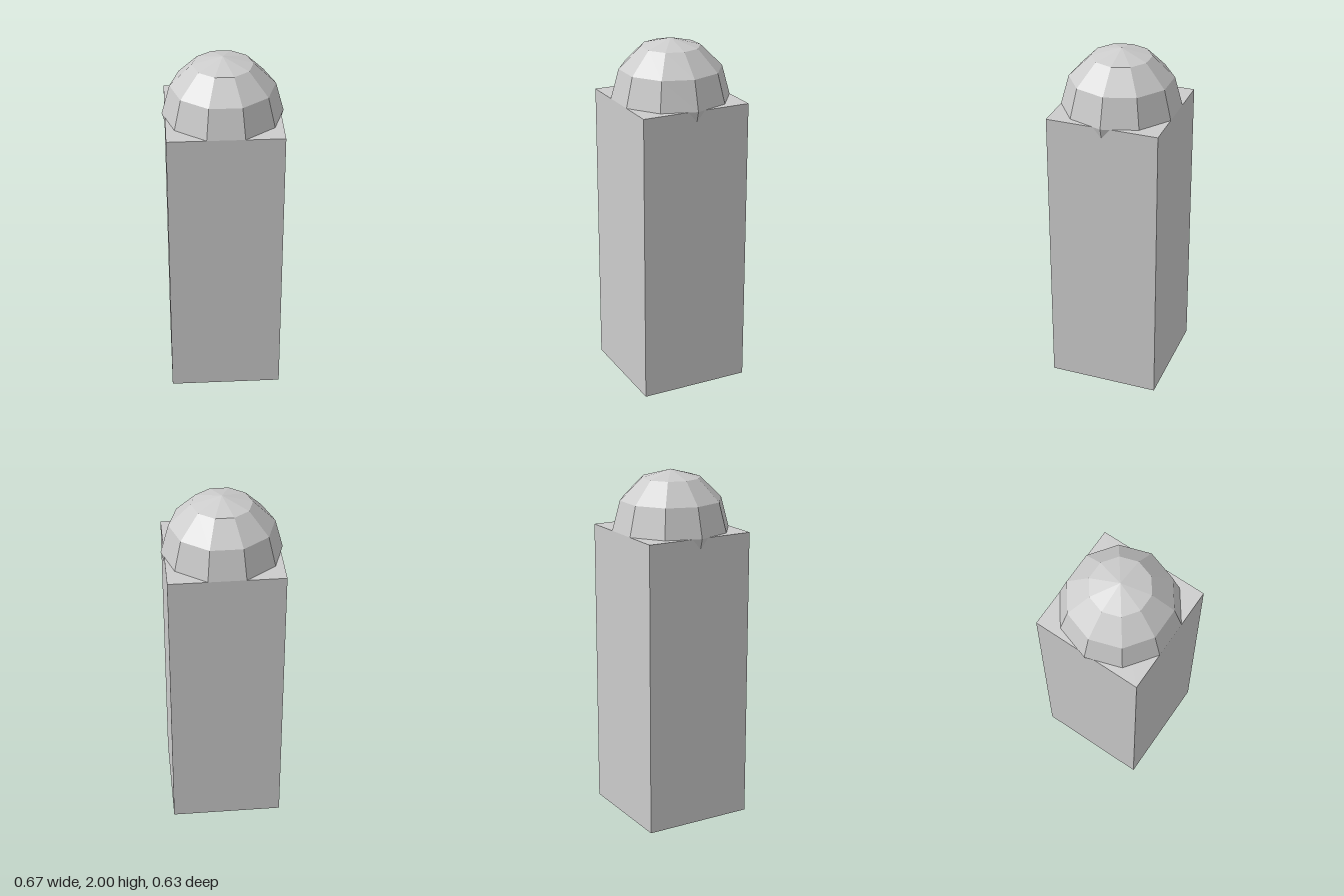
import * as THREE from 'three';

export function createModel() {
  const model = new THREE.Group();
  const grey = new THREE.MeshStandardMaterial({ color: 0xcccccc, flatShading: true });
  grey.name = 'light grey';

  const radius = 1 / 3;
  const height = 2 - radius;
  // The post is as wide as the ball across its flat sides
  const width = 2 * radius * Math.sin(THREE.MathUtils.degToRad(72));

  // Square post
  const post = new THREE.Mesh(new THREE.BoxGeometry(width, height, width), grey);
  post.name = 'post';
  post.position.y = height / 2;

  // Faceted ball, half sunk into the top of the post
  const ball = new THREE.Mesh(new THREE.SphereGeometry(radius, 10, 6), grey);
  ball.name = 'domeCap';
  ball.position.y = height;

  model.add(post, ball);
  return model;
}
